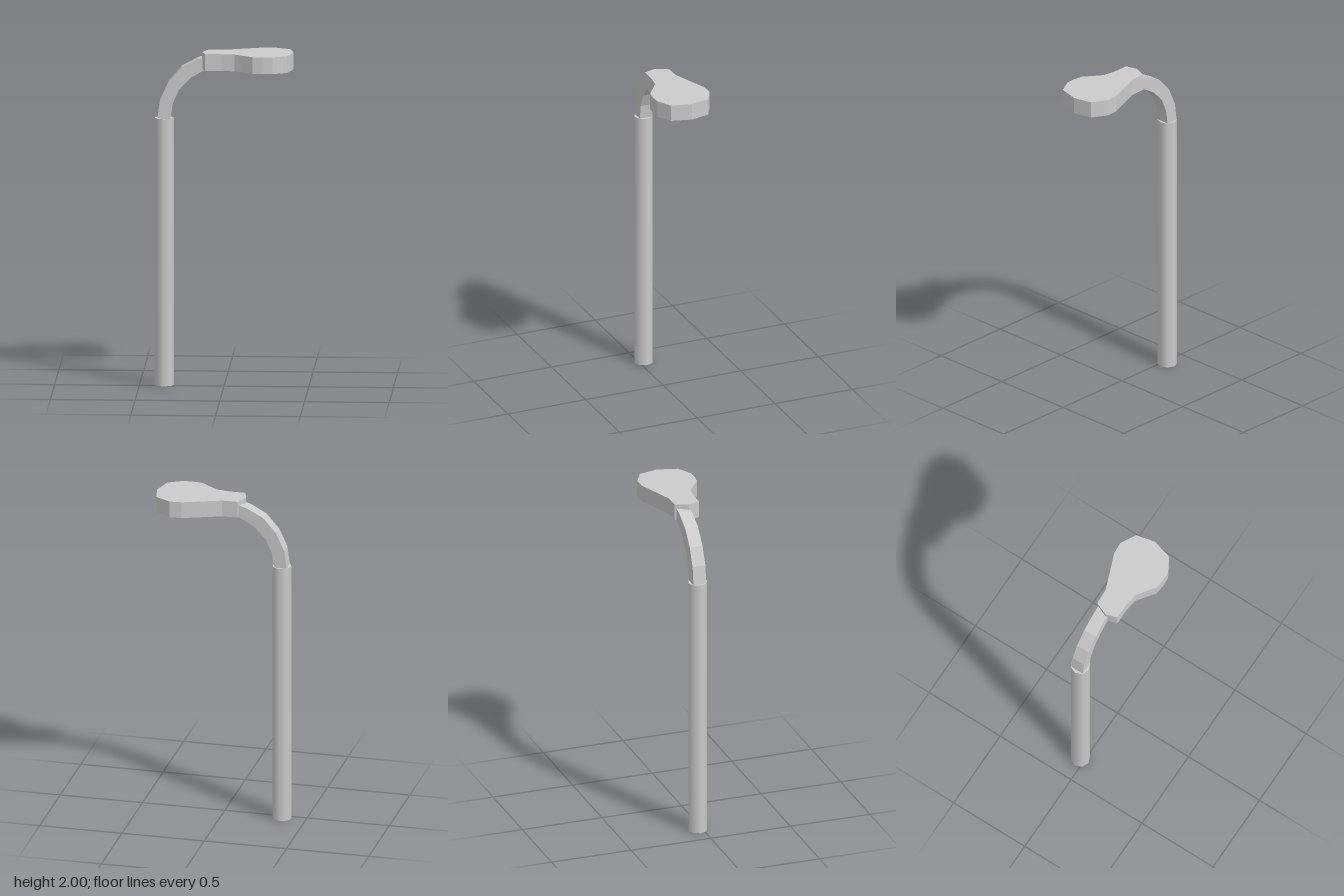
import * as THREE from 'three';

const material = new THREE.MeshStandardMaterial({ color: 0xcccccc });

function part(name, geometry) {
  const mesh = new THREE.Mesh(geometry, material);
  mesh.name = name;
  return mesh;
}

// Flat-sided prism from a 2D outline, extruded along +z.
function prism(points, depth) {
  const shape = new THREE.Shape(points.map(([x, y]) => new THREE.Vector2(x, y)));
  return new THREE.ExtrudeGeometry(shape, { depth, bevelEnabled: false });
}

export function createModel() {
  const group = new THREE.Group();
  group.name = 'streetLamp';

  // Upright eight-sided pole with smooth sides
  const pole = part('pole', new THREE.CylinderGeometry(0.058, 0.058, 1.6, 8));
  pole.position.set(-0.355, 0.8, -0.029);
  group.add(pole);

  // Curved square arm, ending inside the lamp head
  const outer = [[-0.393, 1.6], [-0.378, 1.71], [-0.329, 1.818], [-0.251, 1.907], [-0.152, 1.96], [-0.06, 1.985]];
  const inner = [[-0.317, 1.6], [-0.304, 1.687], [-0.267, 1.772], [-0.198, 1.845], [-0.112, 1.896], [-0.06, 1.91]];
  const arm = part('arm', prism([...outer, ...inner.reverse()], 0.08));
  arm.position.z = -0.069;
  group.add(arm);

  // Pear-shaped lamp head, outline given as x, z seen from above
  const outline = [
    [-0.13, 0], [-0.108, 0.07], [-0.01, 0.07], [0.065, 0.081], [0.11, 0.112],
    [0.175, 0.161], [0.235, 0.168], [0.293, 0.165], [0.378, 0.117], [0.411, -0.005],
    [0.385, -0.12], [0.293, -0.171], [0.22, -0.167], [0.1, -0.121], [-0.005, -0.082], [-0.098, -0.079],
  ];
  const head = part('lampHead', prism(outline.map(([x, z]) => [x, -z]), 0.1).rotateX(-Math.PI / 2));
  head.position.y = 1.9;
  group.add(head);

  return group;
}
